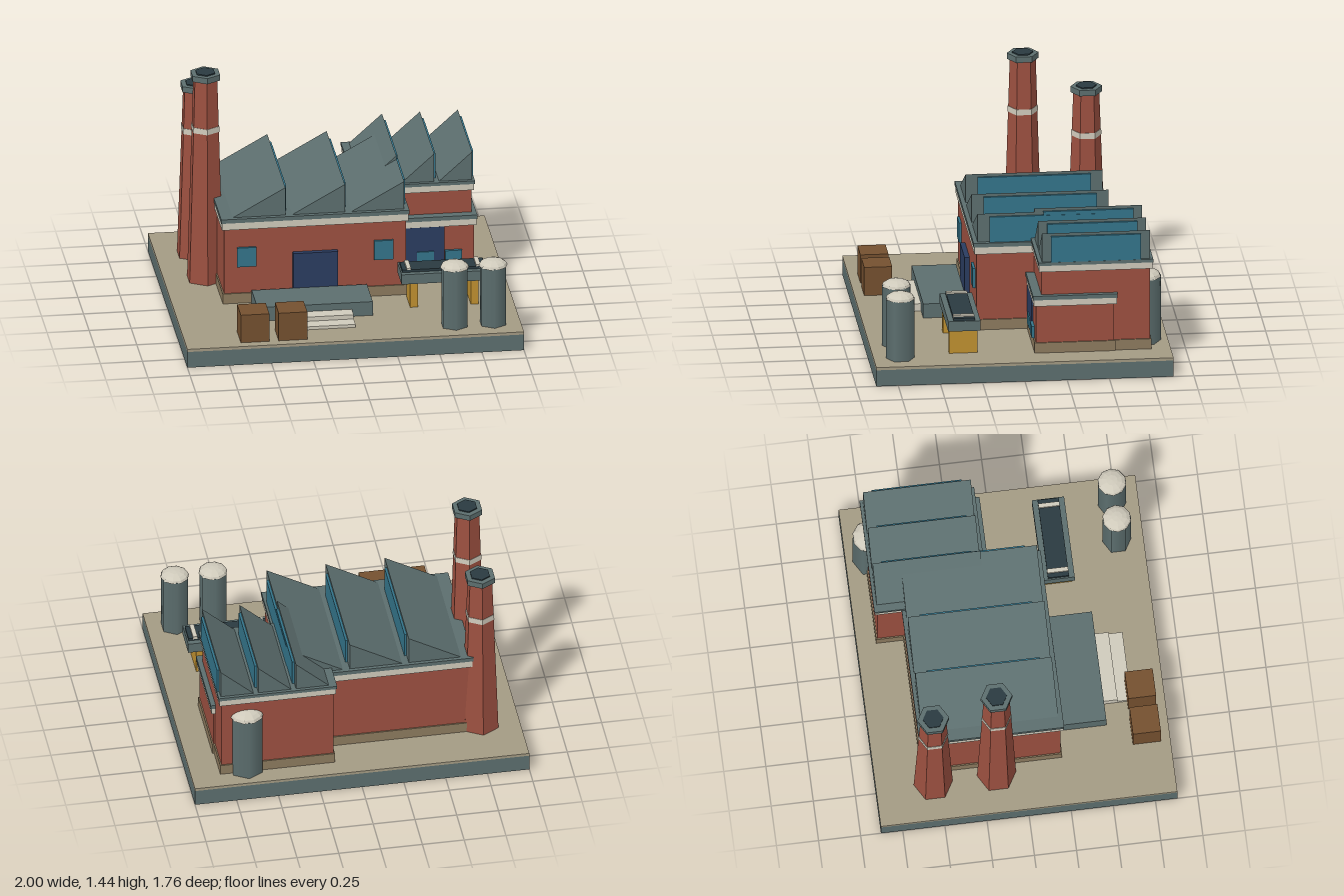
import * as THREE from 'three';

const mat = (color, flat = true) => new THREE.MeshStandardMaterial({ color, flatShading: flat });
const M = {
  brick: mat(0x9c5040), slate: mat(0x5c6e6e), cream: mat(0xcfcabb), sand: mat(0xa39a83),
  plinth: mat(0x8c7a5e), glass: mat(0x34748a), navy: mat(0x2a3c60), wood: mat(0x74502f),
  yellow: mat(0xbf9030), dark: mat(0x2a3a40), tank: mat(0x5c6e6e, false),
};

function add(parent, name, geo, material, x = 0, y = 0, z = 0) {
  const m = new THREE.Mesh(geo, material);
  m.name = name;
  m.position.set(x, y, z);
  parent.add(m);
  return m;
}

// Box given by its extents on each axis
function box(parent, name, material, x0, x1, y0, y1, z0, z1) {
  return add(parent, name, new THREE.BoxGeometry(x1 - x0, y1 - y0, z1 - z0), material,
    (x0 + x1) / 2, (y0 + y1) / 2, (z0 + z1) / 2);
}

function group(parent, name) {
  const g = new THREE.Group();
  g.name = name;
  parent.add(g);
  return g;
}

const G = 0.117; // yard level

// Brick block with plinth, cream band and slate coping
function block(parent, name, x0, x1, z0, z1, wallTop, bandTop, copingTop) {
  const g = group(parent, name);
  const layer = (n, m, y0, y1, o) => box(g, n, m, x0 - o, x1 + o, y0, y1, z0 - o, z1 + o);
  layer('walls', M.brick, G, wallTop, 0);
  layer('plinth', M.plinth, G, 0.18, 0.008);
  layer('creamBand', M.cream, wallTop, bandTop, 0.014);
  layer('coping', M.slate, bandTop, copingTop, 0.019);
  return g;
}

// Sawtooth roof ridges, upright on the +x side with a strip of glazing
function sawteeth(parent, first, pitch, width, base, peak, z0, z1, inset) {
  for (let i = 0; i < 3; i++) {
    const x = first + i * pitch;
    const s = new THREE.Shape([
      new THREE.Vector2(x - width, base), new THREE.Vector2(x, base), new THREE.Vector2(x, peak)]);
    add(parent, 'roofTooth', new THREE.ExtrudeGeometry(s, { depth: z1 - z0, bevelEnabled: false }),
      M.slate, 0, 0, z0);
    box(parent, 'roofGlazing', M.glass, x - 0.005, x + 0.014, base, peak - 0.018, z0 + inset, z1 - inset);
  }
}

// Six-sided tapering chimney
function chimney(parent, x, z, top, bandY) {
  const g = group(parent, 'chimney');
  g.position.set(x, 0, z);
  const capY = top - 0.043, rBase = 0.116, rTop = 0.077;
  const r = y => rBase + (rTop - rBase) * (y - G) / (capY - G);
  const hex = (n, m, r0, r1, y0, y1) =>
    add(g, n, new THREE.CylinderGeometry(r1, r0, y1 - y0, 6), m, 0, (y0 + y1) / 2, 0);
  hex('shaft', M.brick, rBase, rTop, G, capY);
  hex('band', M.cream, r(bandY) + 0.003, r(bandY + 0.035) + 0.003, bandY, bandY + 0.035);
  hex('cap', M.slate, 0.094, 0.094, capY, top - 0.007);
  hex('flue', M.dark, 0.062, 0.062, capY, top);
}

// Storage tank with shallow faceted dome
function tank(parent, x, z, r, top) {
  const g = group(parent, 'tank');
  g.position.set(x, 0, z);
  add(g, 'body', new THREE.CylinderGeometry(r, r, top - G, 6), M.tank, 0, (top + G) / 2, 0);
  const dome = add(g, 'dome',
    new THREE.SphereGeometry(r * 1.02, 10, 4, 0, Math.PI * 2, 0, Math.PI / 2), M.cream, 0, top - 0.004, 0);
  dome.scale.y = 0.46;
  const under = add(g, 'domeUnderside', new THREE.CircleGeometry(r * 1.02, 10), M.cream, 0, top - 0.004, 0);
  under.rotation.x = Math.PI / 2;
}

export function createModel() {
  const root = new THREE.Group();
  root.name = 'factory';

  // Ground slab
  box(root, 'base', M.slate, -1, 1, 0, 0.1, -0.88, 0.88);
  box(root, 'yard', M.sand, -1, 1, 0.1, G, -0.88, 0.88);

  // Main hall
  const hall = block(root, 'mainHall', -0.695, 0.385, -0.595, 0.225, 0.59, 0.635, 0.66);
  sawteeth(hall, -0.33, 0.353, 0.312, 0.66, 0.835, -0.592, 0.218, 0.07);
  box(hall, 'loadingDoor', M.navy, -0.287, -0.022, 0.175, 0.425, 0.22, 0.255);
  for (const x of [-0.562, 0.253])
    box(hall, 'window', M.glass, x - 0.057, x + 0.057, 0.35, 0.472, 0.22, 0.24);

  // Rear annex
  const annex = block(root, 'annex', 0.15, 0.82, -0.757, -0.115, 0.62, 0.66, 0.68);
  sawteeth(annex, 0.374, 0.225, 0.196, 0.68, 0.857, -0.757, -0.118, 0.053);

  // Low office wrapped round the annex corner
  const office = block(root, 'office', 0.43, 0.83, -0.545, -0.082, 0.41, 0.45, 0.475);
  box(office, 'officeDoor', M.navy, 0.39, 0.655, 0.165, 0.408, -0.1, -0.072);
  for (const x of [0.54, 0.708])
    box(office, 'officeWindow', M.glass, x - 0.05, x + 0.05, 0.185, 0.255, -0.09, -0.064);

  // Chimneys
  chimney(root, -0.755, -0.163, 1.442, 1.07);
  chimney(root, -0.765, -0.54, 1.217, 0.905);

  // Loading dock and steps
  box(root, 'dock', M.slate, -0.535, 0.15, G, 0.205, 0.254, 0.517);
  box(root, 'upperStep', M.cream, -0.402, 0.025, G, 0.163, 0.517, 0.6);
  box(root, 'lowerStep', M.cream, -0.402, 0.025, G, 0.136, 0.6, 0.682);

  // Crates
  for (const x of [-0.59, -0.365])
    box(root, 'crate', M.wood, x - 0.085, x + 0.085, G, 0.293, 0.657, 0.823);

  // Gantry on two wide legs
  const gantry = group(root, 'gantry');
  box(gantry, 'deck', M.slate, 0.332, 0.84, 0.27, 0.332, 0.247, 0.438);
  box(gantry, 'deckInset', M.dark, 0.34, 0.832, 0.332, 0.348, 0.28, 0.405);
  for (const x of [0.38, 0.792])
    box(gantry, 'rail', M.cream, x - 0.013, x + 0.013, 0.34, 0.358, 0.28, 0.405);
  for (const x of [0.407, 0.767])
    box(gantry, 'leg', M.yellow, x - 0.023, x + 0.023, G, 0.27, 0.26, 0.428);

  // Tanks
  tank(root, 0.608, 0.722, 0.084, 0.492);
  tank(root, 0.837, 0.722, 0.084, 0.492);
  tank(root, 0.667, -0.738, 0.1, 0.522);

  return root;
}
